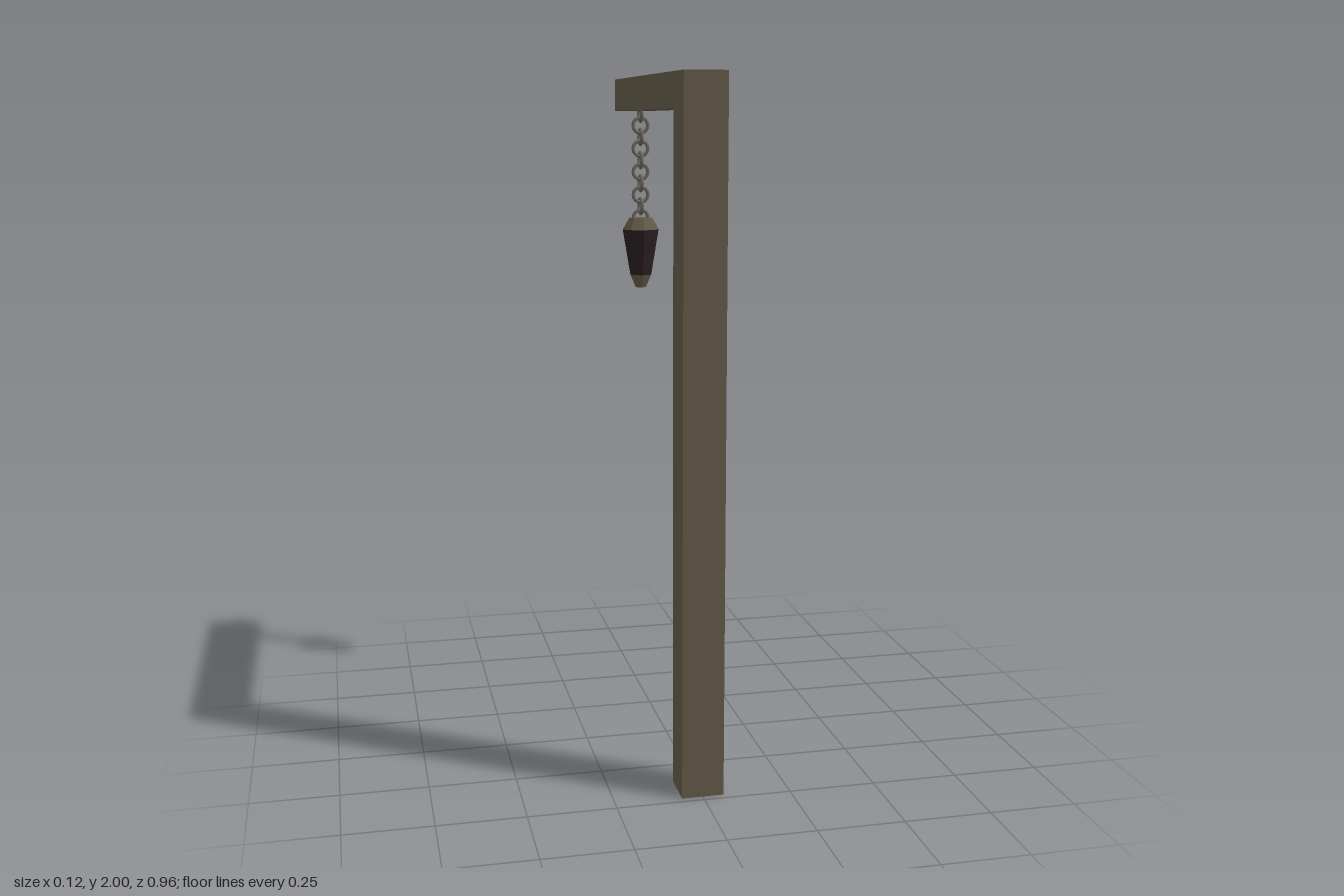
import * as THREE from 'three';

export function createModel() {
  const group = new THREE.Group();
  const wood = new THREE.MeshStandardMaterial({ color: 0x635a48, flatShading: true });
  wood.name = 'weathered wood';
  const metal = new THREE.MeshStandardMaterial({ color: 0x6a6661 });
  metal.name = 'chain metal';
  const brass = new THREE.MeshStandardMaterial({ color: 0x635a46, flatShading: true });
  brass.name = 'lantern cap';
  const glass = new THREE.MeshStandardMaterial({ color: 0x2a1f21, flatShading: true });
  glass.name = 'dark glass';

  const add = (parent, name, geometry, material, x = 0, y = 0, z = 0) => {
    const mesh = new THREE.Mesh(geometry, material);
    mesh.name = name;
    mesh.position.set(x, y, z);
    parent.add(mesh);
    return mesh;
  };

  // Post and overhanging beam in one L-shaped piece
  const outline = new THREE.Shape([
    [0.48, 0], [0.48, 2], [-0.48, 2], [-0.48, 1.903], [0.36, 1.903], [0.36, 0],
  ].map(([z, y]) => new THREE.Vector2(z, y)));
  const frame = new THREE.ExtrudeGeometry(outline, { depth: 0.12, bevelEnabled: false });
  add(group, 'postAndBeam', frame, wood, 0.06).rotation.y = -Math.PI / 2;

  // Chain of interlocking rings, alternately turned a quarter
  const chain = new THREE.Group();
  chain.name = 'chain';
  chain.position.z = -0.372;
  group.add(chain);
  const ring = new THREE.TorusGeometry(0.0235, 0.0055, 8, 16);
  for (let i = 0; i < 10; i++) {
    const link = add(chain, 'chainLink', ring, metal, 0, 1.894 - i * 0.0358, 0);
    if (i % 2 === 0) link.rotation.y = Math.PI / 2;
  }

  // Eight-sided tapered lantern: [name, top radius, bottom radius, top y, bottom y]
  const lantern = new THREE.Group();
  lantern.name = 'lantern';
  lantern.position.z = -0.372;
  group.add(lantern);
  [
    ['lanternRoof', 0.037, 0.058, 1.571, 1.535, brass],
    ['lanternGlass', 0.058, 0.034, 1.535, 1.392, glass],
    ['lanternFoot', 0.034, 0.017, 1.392, 1.352, brass],
  ].forEach(([name, top, bottom, y1, y0, material]) => {
    const open = name === 'lanternGlass';
    const section = new THREE.CylinderGeometry(top, bottom, y1 - y0, 8, 1, open);
    add(lantern, name, section, material, 0, (y1 + y0) / 2, 0);
  });

  return group;
}
